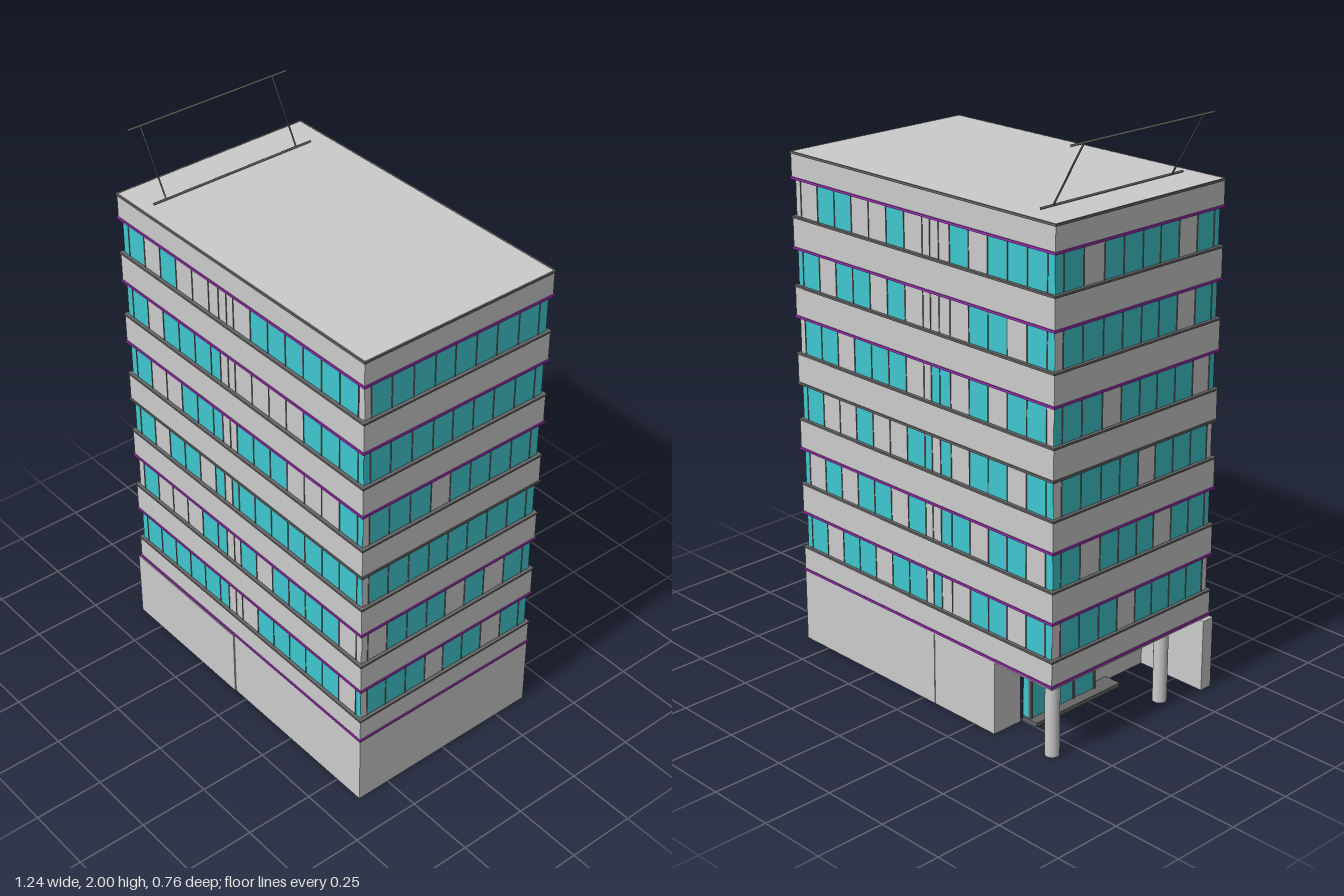
import * as THREE from 'three';

const grey = new THREE.MeshStandardMaterial({ color: 0xcccccc });
const dark = new THREE.MeshStandardMaterial({ color: 0x666666 });
const teal = new THREE.MeshStandardMaterial({ color: 0x40c8d0 });
const purple = new THREE.MeshStandardMaterial({ color: 0x9a30b0 });

// Outer limits of the block
const X0 = -0.605, X1 = 0.615, Z0 = -0.38, Z1 = 0.375;

// Window bay edges along the long and short sides
const longEdges = [-0.595, -0.565, -0.48, -0.395, -0.31, -0.225, -0.14, -0.09, -0.05, -0.015,
  0.07, 0.155, 0.24, 0.325, 0.41, 0.495, 0.58, 0.605];
const shortEdges = [-0.37, -0.335, -0.25, -0.16, -0.075, 0.01, 0.09, 0.175, 0.26, 0.34, 0.365];

// Bay patterns per storey, lowest first: 1 = glass, 0 = solid panel
const patterns = {
  front: ['11111110001111101', '01000110010111100', '11011010111111111',
    '11001110011100011', '11011110000001111', '11010000001111110'],
  back: ['11011001011011011', '10110110010110101', '11011010110010011',
    '01101011001110110', '11011000001011011', '11110100001001100'],
  right: ['1101101110', '1101011100', '1111111110', '1111101110', '1111111111', '1111111110'],
  left: ['0111011110', '1101110111', '0111101110', '1110111101', '0111111011', '1101111011'],
};

// Box given by its limits on each axis
function box(parent, name, x0, x1, y0, y1, z0, z1, mat = grey) {
  const mesh = new THREE.Mesh(new THREE.BoxGeometry(x1 - x0, y1 - y0, z1 - z0), mat);
  mesh.position.set((x0 + x1) / 2, (y0 + y1) / 2, (z0 + z1) / 2);
  mesh.name = name;
  parent.add(mesh);
  return mesh;
}

// Hollow rectangular ring round the block, pushed out by "out"
function ring(parent, name, y0, y1, out, depth, mat = grey) {
  const a = X0 - out, b = X1 + out, c = Z0 - out, d = Z1 + out;
  const shape = new THREE.Shape([[a, -d], [b, -d], [b, -c], [a, -c]].map(p => new THREE.Vector2(...p)));
  const e = depth;
  shape.holes.push(new THREE.Path([[a + e, -d + e], [a + e, -c - e], [b - e, -c - e], [b - e, -d + e]]
    .map(p => new THREE.Vector2(...p))));
  const geo = new THREE.ExtrudeGeometry(shape, { depth: y1 - y0, bevelEnabled: false });
  geo.rotateX(-Math.PI / 2).translate(0, y0, 0);
  const mesh = new THREE.Mesh(geo, mat);
  mesh.name = name;
  parent.add(mesh);
}

// Thin bar between two points
function bar(parent, name, a, b, r, mat = dark) {
  const curve = new THREE.LineCurve3(new THREE.Vector3(...a), new THREE.Vector3(...b));
  const mesh = new THREE.Mesh(new THREE.TubeGeometry(curve, 1, r, 6), mat);
  mesh.name = name;
  parent.add(mesh);
}

// One row of window bays on one side
function windowRow(parent, side, pattern, y0, y1) {
  const long = side === 'front' || side === 'back';
  const edges = long ? longEdges : shortEdges;
  const plane = { front: Z1 - 0.012, back: Z0 + 0.012, right: X1 - 0.012, left: X0 + 0.012 }[side];
  const put = (name, a, b, t, mat) => long
    ? box(parent, name, a, b, y0, y1, plane - t, plane + t, mat)
    : box(parent, name, plane - t, plane + t, y0, y1, a, b, mat);
  [...pattern].forEach((p, i) =>
    put(p === '1' ? 'windowPane' : 'solidPanel', edges[i], edges[i + 1], 0.003, p === '1' ? teal : grey));
  edges.slice(1, -1).forEach(e => put('mullion', e - 0.002, e + 0.002, 0.005, dark));
}

function createModel() {
  const model = new THREE.Group();
  model.name = 'officeBlock';

  // Storeys: spandrel band, lips, coloured strip and windows
  for (let i = 0; i < 6; i++) {
    const storey = new THREE.Group();
    storey.name = 'storey' + (i + 1);
    const base = 0.26 + i * 0.24 - (i ? 0.01 : 0);
    const sill = 0.36 + i * 0.24, head = 0.49 + i * 0.24;
    ring(storey, 'spandrelBand', base, sill, 0, 0.02);
    ring(storey, 'sillLip', sill - 0.006, sill + 0.001, 0.003, 0.02, dark);
    ring(storey, 'headStrip', head - 0.003, head + 0.005, 0.004, 0.02, i === 2 ? dark : purple);
    for (const side in patterns) windowRow(storey, side, patterns[side][i], sill, head);
    model.add(storey);
  }
  ring(model, 'baseStrip', 0.267, 0.275, 0.004, 0.02, purple);

  // Roof and its fascia
  ring(model, 'roofFascia', 1.69, 1.77, 0, 0.02);
  box(model, 'roofSlab', X0, X1, 1.76, 1.78, Z0, Z1);
  ring(model, 'roofLip', 1.773, 1.781, 0.003, 0.006, dark);

  // Tilted frame on the roof
  const frame = new THREE.Group();
  frame.name = 'roofFrame';
  bar(frame, 'lowerRail', [-0.467, 1.785, -0.31], [-0.467, 1.785, 0.33], 0.004);
  bar(frame, 'upperRail', [-0.59, 1.996, -0.31], [-0.59, 1.996, 0.33], 0.004);
  for (const z of [-0.25, 0.28]) bar(frame, 'strut', [-0.467, 1.785, z], [-0.59, 1.996, z], 0.003);
  model.add(frame);

  // Ground floor walls, open underneath
  const ground = new THREE.Group();
  ground.name = 'groundFloor';
  box(ground, 'frontWallRight', -0.057, X1, 0, 0.26, Z1 - 0.012, Z1);
  box(ground, 'frontWallLeft', -0.62, -0.06, 0, 0.26, 0.33, Z1 + 0.003);
  box(ground, 'sideWall', X1 - 0.012, X1, 0, 0.26, Z0, Z1);
  box(ground, 'backWallRight', -0.057, X1, 0, 0.26, Z0, Z0 + 0.012);
  box(ground, 'backWallLeft', -0.345, -0.06, 0, 0.26, Z0, Z0 + 0.012);
  box(ground, 'returnWall', -0.345, -0.333, 0, 0.26, Z0, -0.26);
  box(ground, 'lobbyWall', -0.345, -0.333, 0, 0.26, 0.055, 0.33);
  box(ground, 'soffit', X0 + 0.01, -0.34, 0.262, 0.272, Z0 + 0.01, Z1 - 0.01);

  // Glazed entrance with plinth
  box(ground, 'entrancePlinth', -0.41, -0.345, 0, 0.015, -0.25, 0.15, dark);
  box(ground, 'entranceGlass', -0.374, -0.368, 0.015, 0.26, -0.24, 0.06, teal);
  for (const z of [-0.24, 0.06])
    box(ground, 'entranceReturnGlass', -0.37, -0.34, 0.015, 0.26, z - 0.003, z + 0.003, teal);
  for (const z of [-0.24, -0.14, -0.04, 0.06])
    box(ground, 'entranceFrame', -0.378, -0.366, 0.015, 0.26, z - 0.004, z + 0.004, dark);

  // Round columns at the open corner
  for (const z of [-0.335, 0.18]) {
    const column = new THREE.Mesh(new THREE.CylinderGeometry(0.025, 0.025, 0.262, 20), grey);
    column.position.set(-0.565, 0.131, z);
    column.name = 'column';
    ground.add(column);
  }
  model.add(ground);
  return model;
}

export { createModel };
